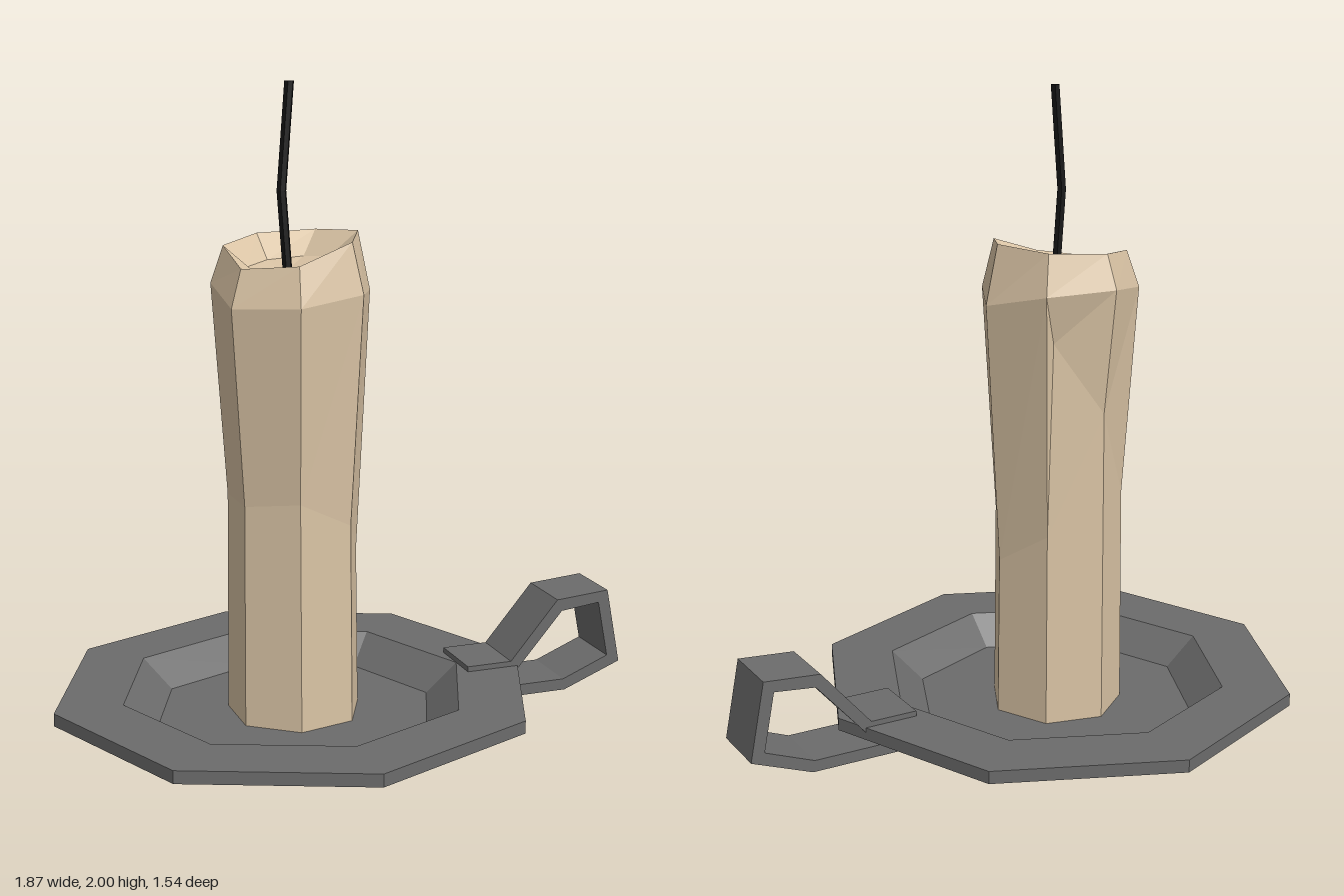
import * as THREE from 'three';

const material = (name, color, extra = {}) =>
  new THREE.MeshStandardMaterial({ name, color, flatShading: true, ...extra });

// Ring of points, counter-clockwise from above; heights may vary per corner
function ring(n, cx, cz, r, heights) {
  return Array.from({ length: n }, (_, i) => {
    const a = (i / n) * Math.PI * 2;
    const y = Array.isArray(heights) ? heights[i] : heights;
    return new THREE.Vector3(cx + r * Math.cos(a), y, cz - r * Math.sin(a));
  });
}

// Skin between rings, with a hook to replace single panels, closed at both ends
function loft(rings, bottom, top, panel = () => null) {
  const points = [];
  const n = rings[0].length;
  for (let i = 0; i < n; i++) {
    const j = (i + 1) % n;
    points.push(bottom, rings[0][j], rings[0][i]);
    for (let k = 0; k + 1 < rings.length; k++) {
      const a = rings[k][i], b = rings[k][j], c = rings[k + 1][j], d = rings[k + 1][i];
      points.push(...(panel(k, i, a, b, c, d) || [a, b, c, a, c, d]));
    }
    const last = rings[rings.length - 1];
    points.push(last[i], last[j], top);
  }
  const geometry = new THREE.BufferGeometry().setFromPoints(points);
  geometry.computeVertexNormals();
  return geometry;
}

export function createModel() {
  const model = new THREE.Group();
  model.name = 'candleHolder';
  const metal = material('dark grey metal', 0x6c6c6c);
  const wax = material('cream wax', 0xdac4a5);
  const black = material('black wick', 0x141414);

  const add = (name, geometry, mat) => {
    const mesh = new THREE.Mesh(geometry, mat);
    mesh.name = name;
    model.add(mesh);
    return mesh;
  };

  // Octagonal dish with a wide flat rim and a sunken floor
  const profile = [
    [0, 0], [0.57, 0], [0.57, 0.08], [0.77, 0.08],
    [0.77, 0.12], [0.555, 0.12], [0.45, 0.03], [0, 0.03],
  ].map(([x, y]) => new THREE.Vector2(x, y));
  const dish = add('dish', new THREE.LatheGeometry(profile, 8), metal);
  dish.position.x = -0.17;

  // Bent strap handle
  const strap = new THREE.Shape([
    [0.40, 0.016], [0.733, 0.016], [0.93, 0.092], [0.882, 0.341], [0.70, 0.327],
    [0.537, 0.137], [0.385, 0.137], [0.385, 0.10], [0.553, 0.10],
    [0.717, 0.288], [0.85, 0.302], [0.886, 0.116], [0.727, 0.053], [0.40, 0.053],
  ].map(([x, y]) => new THREE.Vector2(x, y)));
  const handle = add('handle',
    new THREE.ExtrudeGeometry(strap, { depth: 0.2, bevelEnabled: false }), metal);
  handle.position.z = -0.105;

  // Seven-sided candle with uneven shoulder, rim and melted hollow
  const cx = -0.165, cz = -0.018;
  const rings = [
    ring(7, cx, cz, 0.213, 0.03),
    ring(7, cx, cz, 0.207, [0.54, 0.65, 1.03, 0.73, 0.73, 0.75, 0.66]),
    ring(7, cx, cz, 0.252, [1.36, 1.41, 1.42, 1.39, 1.34, 1.35, 1.375]),
    ring(7, cx, cz, 0.212, [1.545, 1.535, 1.525, 1.505, 1.455, 1.47, 1.53]),
    ring(7, cx - 0.01, cz, 0.13, [1.47, 1.46, 1.45, 1.44, 1.43, 1.44, 1.47]),
  ];
  // The back panel is set in below the overhanging shoulder
  const inset = new THREE.Vector3(-0.05, 1.26, -0.187);
  const candlePanel = (k, i, a, b, c, d) =>
    k === 1 && i === 1
      ? [a, b, inset, b, c, inset, c, d, inset, d, a, inset]
      : null;
  add('candle', loft(rings, new THREE.Vector3(cx, 0.03, cz),
    new THREE.Vector3(-0.19, 1.43, -0.01), candlePanel), wax);

  // Slightly kinked wick
  const kinks = [[-0.205, 1.42], [-0.224, 1.68], [-0.198, 2]];
  add('wick', loft(kinks.map(([x, y]) => ring(6, x, 0.06, 0.015, y)),
    new THREE.Vector3(-0.205, 1.42, 0.06), new THREE.Vector3(-0.198, 2, 0.06)), black);

  return model;
}
